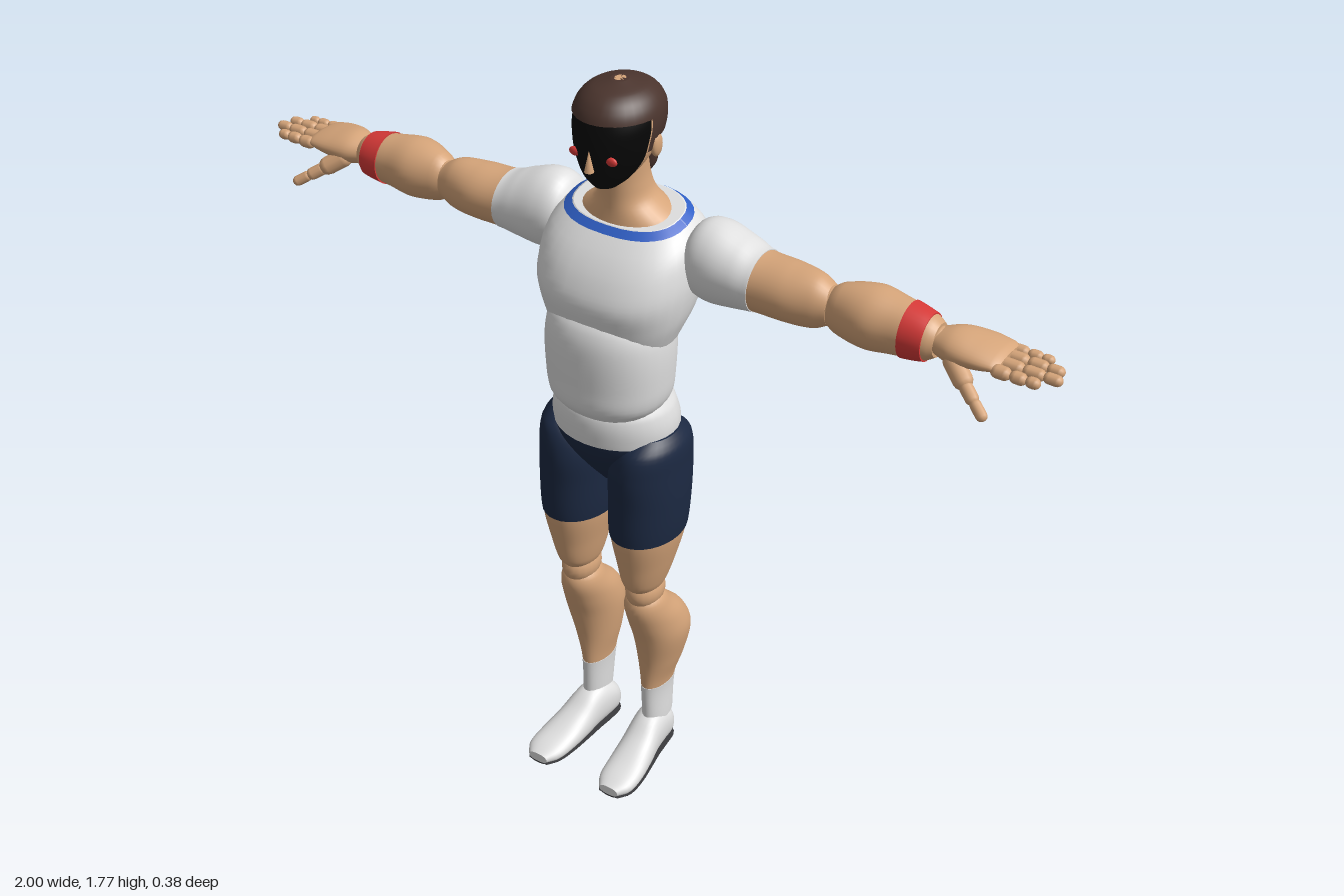
import * as THREE from 'three';

const mat = (name, color) => Object.assign(new THREE.MeshStandardMaterial({ color }), { name });

// Smooth interpolation of cross-section rows [t, cx, cz, rx, rz] at position t
function sample(p, t) {
  let i = 0;
  while (i < p.length - 2 && t > p[i + 1][0]) i++;
  const slope = (k, c) => {
    const a = p[Math.max(k - 1, 0)], b = p[Math.min(k + 1, p.length - 1)];
    return (b[c] - a[c]) / (b[0] - a[0]);
  };
  const h = p[i + 1][0] - p[i][0], u = (t - p[i][0]) / h, v = 1 - u;
  return [1, 2, 3, 4].map(c =>
    p[i][c] * (1 + 2 * u) * v * v + p[i + 1][c] * u * u * (3 - 2 * u)
    + h * (slope(i, c) * u * v * v - slope(i + 1, c) * u * u * v));
}

// Body of superellipse sections along y, optionally only a range, a sector or an offset skin
function loft(p, o = {}) {
  const { from = p[0][0], to = p[p.length - 1][0], a0 = 0, a1 = Math.PI * 2, grow = 0, power = 2, tilt = 0, rows = 26, seg = 32 } = o;
  const full = a1 - a0 > 6.28, n = full ? seg : seg + 1, pos = [], idx = [];
  const pw = v => Math.sign(v) * Math.abs(v) ** (2 / power);
  for (let i = 0; i <= rows; i++) {
    const y = from + (to - from) * i / rows, [cx, cz, rx, rz] = sample(p, y);
    for (let j = 0; j < n; j++) {
      const a = a0 + (a1 - a0) * j / seg;
      const z = cz + Math.max(rz + grow, 0.001) * pw(Math.sin(a));
      pos.push(cx + Math.max(rx + grow, 0.001) * pw(Math.cos(a)), y + tilt * z, z);
    }
  }
  for (let i = 0; i < rows; i++) for (let j = 0; j < seg; j++) {
    const k = (j + 1) % n, a = i * n + j, b = i * n + k;
    idx.push(a, a + n, b, b, a + n, b + n);
  }
  // flat end caps
  if (full) for (const r of [0, rows]) {
    const base = pos.length / 3, [cx, cz] = sample(p, r ? to : from);
    for (let j = 0; j < n; j++) pos.push(...pos.slice((r * n + j) * 3, (r * n + j) * 3 + 3));
    pos.push(cx, (r ? to : from) + tilt * cz, cz);
    for (let j = 0; j < n; j++) {
      const k = (j + 1) % n;
      idx.push(base + n, base + (r ? k : j), base + (r ? j : k));
    }
  }
  const g = new THREE.BufferGeometry();
  g.setAttribute('position', new THREE.Float32BufferAttribute(pos, 3));
  g.setIndex(idx);
  g.computeVertexNormals();
  return g;
}

function add(parent, name, geometry, material) {
  const m = new THREE.Mesh(geometry, material);
  m.name = name;
  parent.add(m);
  return m;
}

const ball = (parent, name, material, x, y, z, rx, ry = rx, rz = rx) =>
  add(parent, name, new THREE.SphereGeometry(1, 20, 14).scale(rx, ry, rz).translate(x, y, z), material);

// Rounded segment between two points
function bone(parent, name, material, a, b, r) {
  const A = new THREE.Vector3(...a), B = new THREE.Vector3(...b), d = B.clone().sub(A);
  const m = add(parent, name, new THREE.CapsuleGeometry(r, Math.max(d.length() - 2 * r, 0.002), 4, 10), material);
  m.position.copy(A).add(B).multiplyScalar(0.5);
  m.quaternion.setFromUnitVectors(new THREE.Vector3(0, 1, 0), d.normalize());
}

const HEAD = [[1.555, 0, .035, .022, .028], [1.58, 0, .02, .05, .062], [1.62, 0, .002, .075, .09], [1.66, 0, -.006, .085, .102],
  [1.70, 0, -.012, .088, .104], [1.735, 0, -.014, .078, .092], [1.76, 0, -.014, .052, .062], [1.773, 0, -.014, .012, .014]];
const NECK = [[1.42, 0, -.05, .15, .085], [1.46, 0, -.055, .118, .082], [1.5, 0, -.045, .066, .068], [1.54, 0, -.036, .052, .06], [1.61, 0, -.025, .05, .055]];
const CHEST = [[1.17, 0, -.005, .13, .09], [1.22, 0, -.005, .153, .112], [1.27, 0, -.013, .173, .134], [1.33, 0, -.025, .184, .158],
  [1.38, 0, -.035, .183, .15], [1.42, 0, -.041, .172, .126], [1.45, 0, -.046, .146, .096], [1.463, 0, -.048, .126, .08]];
const WAIST = [[1.02, 0, .02, .115, .1], [1.05, 0, .02, .135, .122], [1.1, 0, .02, .144, .126], [1.2, 0, .02, .146, .125], [1.25, 0, .02, .132, .11], [1.28, 0, .015, .1, .085]];
const PELVIS = [[.81, 0, -.005, .025, .045], [.86, 0, -.005, .08, .085], [.92, 0, -.005, .14, .12], [.97, 0, -.002, .15, .127], [1.02, 0, .003, .142, .12], [1.05, 0, .005, .125, .1]];
const THIGH = [[.53, .09, .01, .035, .05], [.555, .09, .012, .046, .068], [.62, .092, .01, .063, .086], [.70, .093, .006, .079, .106],
  [.80, .094, .002, .084, .112], [.88, .095, 0, .081, .115], [.94, .105, 0, .066, .1], [.968, .112, 0, .04, .065]];
const CALF = [[.09, .088, -.05, .027, .05], [.2, .086, -.054, .031, .058], [.28, .09, -.06, .049, .071], [.36, .094, -.055, .062, .084],
  [.42, .092, -.03, .06, .08], [.47, .09, .002, .052, .062], [.5, .09, .01, .043, .048], [.515, .09, .01, .028, .03]];
// foot runs along z, with the third value as minus the height
const FOOT = [[-.103, .078, -.035, .02, .025], [-.085, .08, -.045, .036, .045], [-.04, .083, -.055, .041, .057], [0, .087, -.052, .042, .056],
  [.05, .093, -.036, .046, .042], [.11, .1, -.025, .049, .028], [.16, .104, -.02, .044, .02], [.188, .104, -.018, .026, .012]];
// arm sections run outward along x
const UPPER_ARM = [[.14, 0, -.07, .04, .04], [.17, -.01, -.07, .08, .07], [.215, -.01, -.07, .091, .081], [.28, -.004, -.068, .077, .078],
  [.32, 0, -.065, .066, .072], [.40, 0, -.061, .064, .068], [.46, 0, -.058, .06, .052], [.495, 0, -.056, .042, .038]];
const FOREARM = [[.49, 0, -.058, .04, .035], [.51, 0, -.06, .056, .046], [.58, 0, -.067, .069, .069], [.64, 0, -.066, .062, .061], [.715, 0, -.06, .049, .047], [.735, 0, -.06, .037, .035]];
const PALM = [[.73, 0, -.062, .026, .034], [.77, 0, -.068, .036, .055], [.82, 0, -.074, .03, .064], [.865, 0, -.076, .019, .06], [.878, 0, -.076, .011, .052]];

export function createModel() {
  const skin = mat('skin', 0xd6a57a), white = mat('white cloth', 0xe0e0e0), navy = mat('navy cloth', 0x1c2942),
    brown = mat('brown hair', 0x4a342d), black = mat('black mask', 0x070707), red = mat('red', 0xd83a38),
    blue = mat('blue trim', 0x2f5fc6), dark = mat('dark sole', 0x3a3a3d);
  const model = new THREE.Group();
  model.name = 'figure';

  // head, mask and hair
  const head = new THREE.Group();
  head.name = 'head';
  model.add(head);
  const back = (s) => ({ a0: Math.PI - s, a1: Math.PI * 2 + s });
  add(head, 'skull', loft(HEAD), skin);
  add(head, 'faceMask', loft(HEAD, { from: 1.556, to: 1.715, a0: .16, a1: Math.PI - .16, grow: .003 }), black);
  add(head, 'hairTop', loft(HEAD, { from: 1.712, grow: .007 }), brown);
  add(head, 'hairSides', loft(HEAD, { from: 1.665, to: 1.713, ...back(.16), grow: .006 }), brown);
  add(head, 'hairBack', loft(HEAD, { from: 1.61, to: 1.667, ...back(-.75), grow: .006 }), brown);
  add(head, 'ponytail', loft([[1.525, 0, -.105, .012, .01], [1.55, 0, -.11, .026, .022], [1.6, 0, -.11, .03, .025], [1.64, 0, -.112, .024, .02], [1.66, 0, -.108, .014, .014]]), brown);
  ball(head, 'hairTie', red, 0, 1.645, -.118, .03, .026, .021);
  add(head, 'nose', new THREE.ConeGeometry(.011, .05, 8).translate(0, 1.632, .098), skin);
  for (const s of [1, -1]) {
    ball(head, 'eyeSpot', red, s * .045, 1.636, .084, .014, .01, .006);
    ball(head, 'ear', skin, s * .086, 1.645, -.02, .01, .027, .017);
    add(head, 'sideburn', loft(HEAD, { from: 1.64, to: 1.667, a0: s > 0 ? .02 : Math.PI - .16, a1: s > 0 ? .16 : Math.PI - .02, grow: .006, seg: 4 }), brown);
  }
  add(model, 'neck', loft(NECK), skin);

  // torso
  const shirt = { power: 2.4, tilt: -.2 };
  add(model, 'chest', loft(CHEST, shirt), white);
  add(model, 'neckTrim', loft(CHEST, { ...shirt, from: 1.452, to: 1.463, a1: 6.279, grow: .003, rows: 3 }), blue);
  add(model, 'waist', loft(WAIST, { power: 2.2 }), white);
  add(model, 'shirtHem', loft(PELVIS, { from: .95 }), white);
  add(model, 'shortsSeat', loft(PELVIS, { to: .95 }), navy);

  for (const s of [1, -1]) {
    const side = new THREE.Group();
    side.name = s > 0 ? 'leftLimbs' : 'rightLimbs';
    side.scale.x = s;
    model.add(side);

    // leg
    add(side, 'shortsLeg', loft(THIGH, { from: .70, grow: .002 }), navy);
    add(side, 'thigh', loft(THIGH, { to: .702 }), skin);
    ball(side, 'knee', skin, .09, .52, .012, .043, .05, .056);
    add(side, 'calf', loft(CALF, { from: .2 }), skin);
    add(side, 'sock', loft(CALF, { to: .2, grow: .001 }), white);
    const foot = loft(FOOT, { power: 2.3 }).rotateX(Math.PI / 2);
    const fp = foot.attributes.position;
    for (let i = 0; i < fp.count; i++) fp.setY(i, Math.max(fp.getY(i), .004));
    foot.computeVertexNormals();
    add(side, 'foot', foot, white);
    const sole = foot.clone();
    const sp = sole.attributes.position;
    for (let i = 0; i < sp.count; i++) sp.setY(i, Math.min(Math.max(sp.getY(i) - .004, 0), .006));
    sole.computeVertexNormals();
    add(side, 'sole', sole, dark);

    // arm
    const arm = new THREE.Group();
    arm.name = 'arm';
    arm.position.y = 1.38;
    side.add(arm);
    const along = (name, p, m, o) => add(arm, name, loft(p, o).rotateZ(-Math.PI / 2), m);
    along('sleeve', UPPER_ARM, white, { to: .325, grow: .002 });
    along('upperArm', UPPER_ARM, skin, { from: .32 });
    ball(arm, 'elbow', skin, .492, 0, -.057, .035, .045, .038);
    along('forearm', FOREARM, skin);
    along('wristband', FOREARM, red, { from: .665, to: .715, grow: .003, rows: 6 });
    ball(arm, 'wrist', skin, .735, 0, -.061, .022, .03, .032);

    // hand
    along('palm', PALM, skin);
    [[-.027, .968], [-.06, 1], [-.092, .99], [-.122, .955]].forEach(([z, tip], f) => {
      const len = tip - .862;
      [[0, .42], [.38, .74], [.7, 1]].forEach(([a, b], k) =>
        bone(arm, 'finger', skin, [.862 + len * a, -.004, z], [.862 + len * b, -.005, z], .0145 - k * .0012 - (f === 3 ? .002 : 0)));
    });
    bone(arm, 'thumbBase', skin, [.765, -.008, -.04], [.828, -.05, -.003], .022);
    bone(arm, 'thumb', skin, [.815, -.042, -.01], [.855, -.068, .014], .015);
    bone(arm, 'thumbTip', skin, [.847, -.062, .009], [.885, -.087, .03], .0125);
  }
  return model;
}
